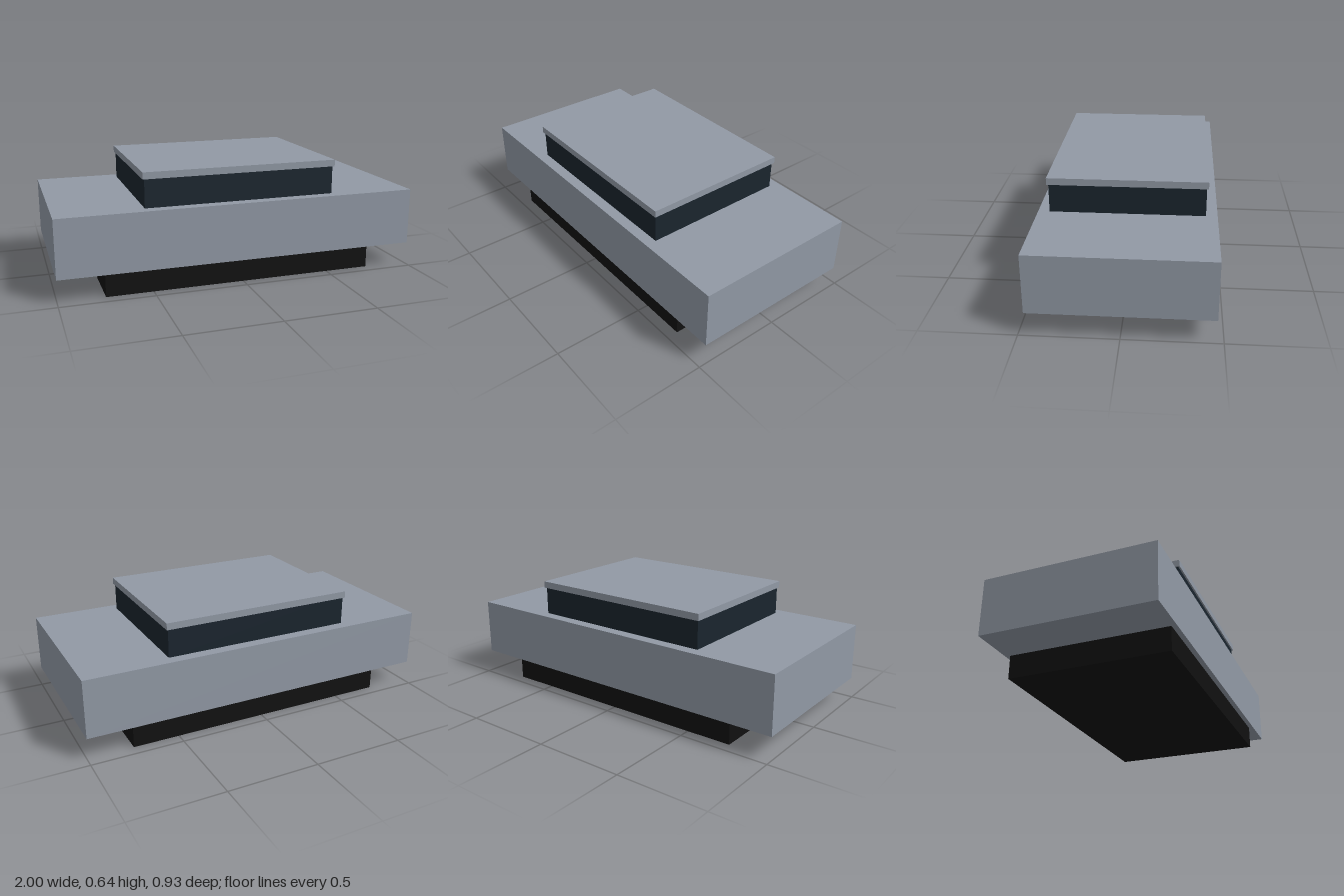
import * as THREE from 'three';

export function createModel() {
  const group = new THREE.Group();
  const paint = new THREE.MeshStandardMaterial({ color: 0x9199a5 });
  const glass = new THREE.MeshStandardMaterial({ color: 0x1a252e });
  const rubber = new THREE.MeshStandardMaterial({ color: 0x111111 });

  // Adds a centred slab between two heights
  function slab(name, width, depth, bottom, top, material) {
    const mesh = new THREE.Mesh(new THREE.BoxGeometry(width, top - bottom, depth), material);
    mesh.name = name;
    mesh.position.y = (bottom + top) / 2;
    group.add(mesh);
  }

  slab('undercarriage', 1.504, 0.875, 0, 0.129, rubber);
  slab('body', 2, 0.93, 0.129, 0.445, paint);
  // The cabin ends inside the roof so that their tops do not coincide
  slab('cabin', 1.06, 0.81, 0.445, 0.62, glass);
  slab('roof', 1.078, 0.828, 0.599, 0.636, paint);

  return group;
}
